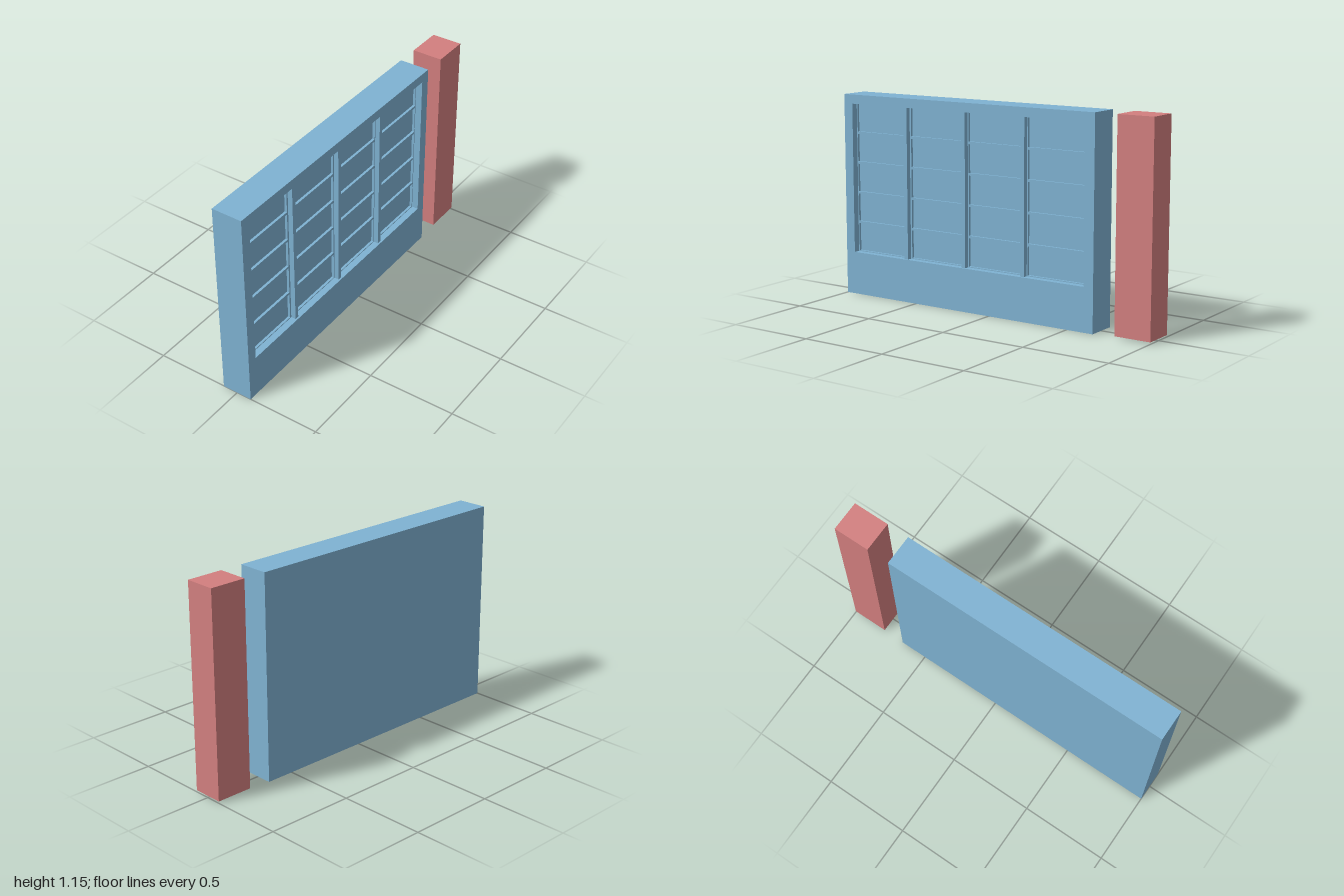
import * as THREE from 'three';

const X = 0.088; // half thickness
const blue = new THREE.MeshStandardMaterial({ color: 0x7fb2d2, side: THREE.DoubleSide });
const red = new THREE.MeshStandardMaterial({ color: 0xd27f7f, side: THREE.DoubleSide });

// Box from limits, leaving out some faces (order: +x -x +y -y +z -z)
function box(name, mat, [x0, x1], [y0, y1], [z0, z1], skip = []) {
  const g = new THREE.BoxGeometry(x1 - x0, y1 - y0, z1 - z0);
  const idx = Array.from(g.index.array).filter((_, i) => !skip.includes(Math.floor(i / 6)));
  g.setIndex(idx);
  g.clearGroups();
  g.translate((x0 + x1) / 2, (y0 + y1) / 2, (z0 + z1) / 2);
  const m = new THREE.Mesh(g, mat);
  m.name = name;
  return m;
}

// Rectangle in the side plane; shape x runs along -z
function rect(Type, [y0, y1], [z0, z1]) {
  return new Type([
    new THREE.Vector2(-z1, y0), new THREE.Vector2(-z0, y0),
    new THREE.Vector2(-z0, y1), new THREE.Vector2(-z1, y1),
  ]);
}

export function createModel() {
  const model = new THREE.Group();
  const wallY = [0, 1.155], wallZ = [-0.66, 1];
  const winY = [0.245, 1.103], winZ = [-0.602, 0.942];
  const backX = X - 0.052;

  // Hollow wall, open underneath
  const wall = new THREE.Group();
  wall.name = 'wall';
  wall.add(box('wallShell', blue, [-X, X], wallY, wallZ, [0, 3]));
  const face = rect(THREE.Shape, wallY, wallZ);
  face.holes.push(rect(THREE.Path, winY, winZ));
  const faceMesh = new THREE.Mesh(new THREE.ShapeGeometry(face).rotateY(Math.PI / 2), blue);
  faceMesh.position.x = X;
  faceMesh.name = 'windowWallFace';
  wall.add(faceMesh);
  wall.add(box('windowRecess', blue, [backX, X], winY, winZ, [0]));
  model.add(wall);

  // Window grid with four columns and five rows of panes
  const columns = [[0.594, 0.937], [0.192, 0.551], [-0.195, 0.156], [-0.597, -0.23]];
  const rows = [[0.25, 0.409], [0.422, 0.582], [0.595, 0.755], [0.769, 0.927], [0.941, 1.098]];
  const grid = rect(THREE.Shape, winY, winZ);
  for (const z of columns) for (const y of rows) grid.holes.push(rect(THREE.Path, y, z));
  const gridMesh = new THREE.Mesh(
    new THREE.ExtrudeGeometry(grid, { depth: 0.014, bevelEnabled: false }).rotateY(Math.PI / 2), blue);
  gridMesh.position.x = backX;
  gridMesh.name = 'paneGrid';
  model.add(gridMesh);

  // Upright mullions in front of the grid
  for (const z of [0.572, 0.174, -0.212]) {
    model.add(box('mullion', blue, [backX, X - 0.01], winY, [z - 0.012, z + 0.012]));
  }

  // Separate hollow pillar
  model.add(box('pillar', red, [-X, X], [0.01, 1.155], [-1, -0.79], [3]));
  return model;
}
